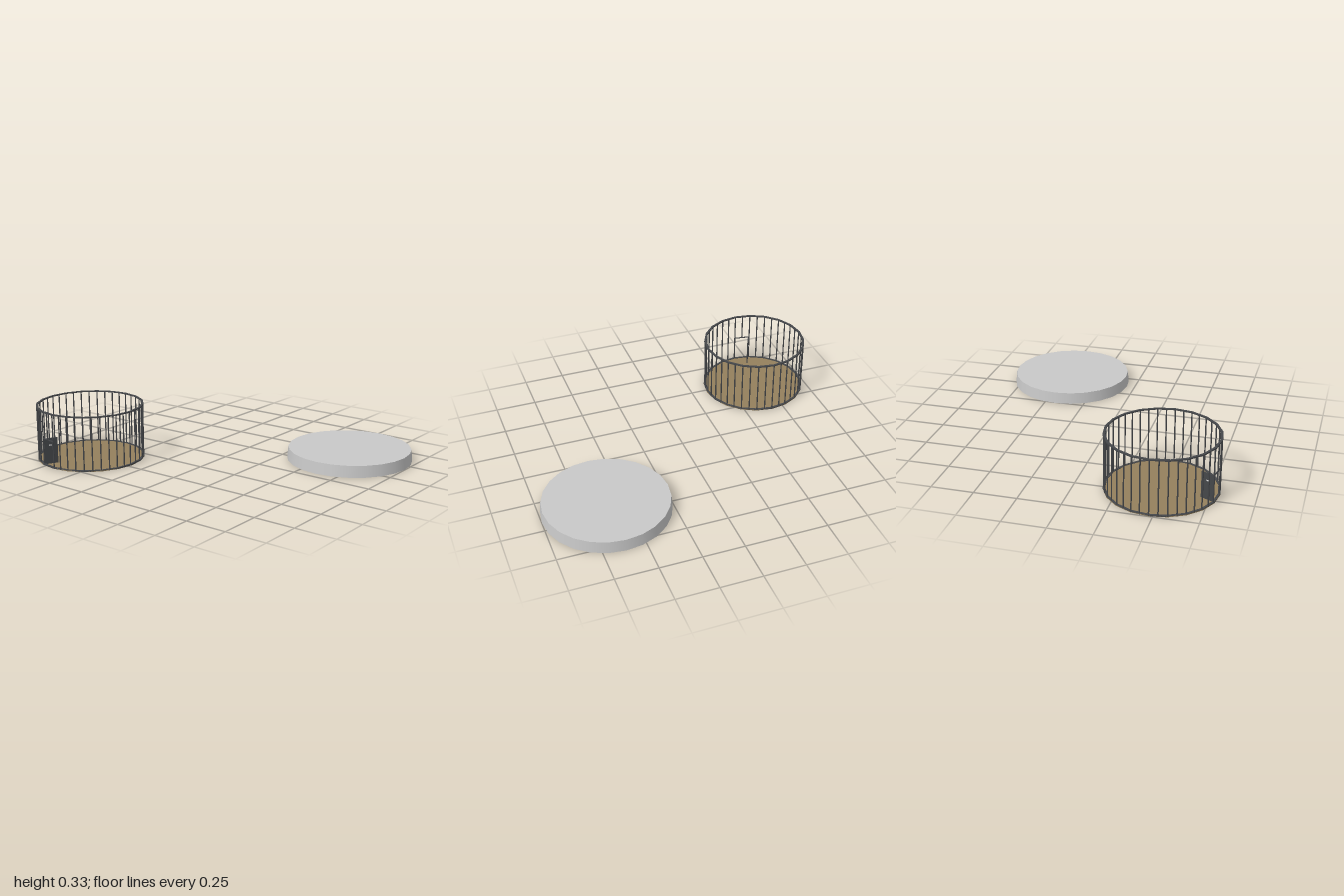
import * as THREE from 'three';

const mat = (name, color) => {
  const m = new THREE.MeshStandardMaterial({ color });
  m.name = name;
  return m;
};

export function createModel() {
  const iron = mat('dark iron', 0x45474a);
  const earth = mat('brown floor', 0x94805d);
  const stone = mat('pale grey', 0xc8c8c8);
  const pale = mat('pale handle', 0xe8e8e8);

  const model = new THREE.Group();
  const add = (parent, name, geometry, material, x = 0, y = 0, z = 0) => {
    const mesh = new THREE.Mesh(geometry, material);
    mesh.name = name;
    mesh.position.set(x, y, z);
    parent.add(mesh);
    return mesh;
  };

  // Low round platform, slightly narrower at the top
  add(model, 'platform', new THREE.CylinderGeometry(0.372, 0.379, 0.07, 24), stone, 0.62, 0.035, -0.43);

  // Round enclosure
  const cage = new THREE.Group();
  cage.name = 'enclosure';
  cage.position.set(-0.672, 0, 0.477);
  model.add(cage);

  const R = 0.326, H = 0.333, barR = R - 0.007, doorH = 0.165;
  add(cage, 'floor', new THREE.CylinderGeometry(R, R, 0.005, 20), earth, 0, 0.0025, 0);

  // Flat 20-sided rim around the top, with square section
  const rimProfile = [[R - 0.014, 0], [R, 0], [R, 0.007], [R - 0.014, 0.007], [R - 0.014, 0]]
    .map(([x, y]) => new THREE.Vector2(x, y));
  const rimGeometry = new THREE.LatheGeometry(rimProfile, 20).toNonIndexed();
  rimGeometry.computeVertexNormals();
  add(cage, 'topRim', rimGeometry, iron, 0, H - 0.007, 0);
  add(cage, 'bottomRim', rimGeometry, iron, 0, 0.001, 0);

  // Upright bars; the one over the doorway starts at the lintel
  const count = 40;
  for (let i = 0; i < count; i++) {
    const a = (i / count) * Math.PI * 2;
    const bottom = i === count - 1 ? doorH : 0;
    const height = H - 0.002 - bottom;
    add(cage, 'bar', new THREE.CylinderGeometry(0.004, 0.004, height, 6), iron,
      Math.sin(a) * barR, bottom + height / 2, Math.cos(a) * barR);
  }

  // Lintel across the doorway
  const step = (Math.PI * 2) / count;
  const lintel = add(cage, 'lintel', new THREE.BoxGeometry(2 * barR * Math.sin(step), 0.005, 0.006), iron,
    -Math.sin(step) * barR * Math.cos(step), doorH, Math.cos(step) * barR * Math.cos(step));
  lintel.rotation.y = -step;

  // Door swung open into the enclosure, hinged on the bar left of the opening
  const door = new THREE.Group();
  door.name = 'door';
  door.position.set(-Math.sin(2 * step) * barR + 0.005, 0, Math.cos(2 * step) * barR);
  door.rotation.y = Math.atan2(0.073, 0.036);
  cage.add(door);
  add(door, 'doorPanel', new THREE.BoxGeometry(0.083, doorH - 0.004, 0.006), iron, 0.0415, doorH / 2, 0);
  add(door, 'doorHandle', new THREE.BoxGeometry(0.018, 0.007, 0.009), pale, 0.038, 0.12, 0);

  return model;
}
